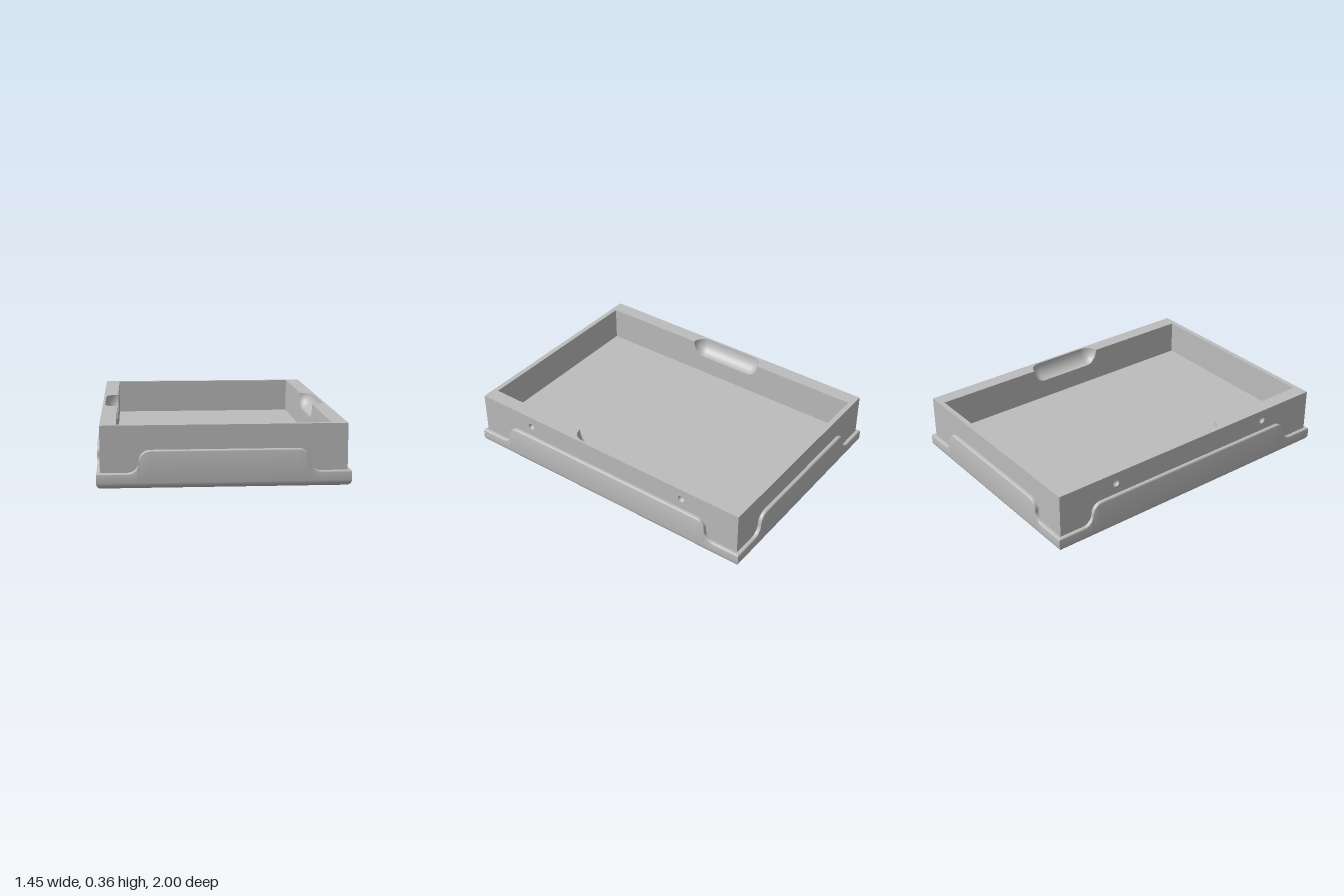
import * as THREE from 'three';
import { toCreasedNormals } from 'three/addons/utils/BufferGeometryUtils.js';

const HX = 0.725, HZ = 1.0;            // outer skirt half sizes
const BX = 0.703, BZ = 0.977;          // tray body half sizes
const CX = 0.611, CZ = 0.945;          // cavity half sizes
const TOP = 0.36, FLOOR = 0.14;
const LOW = 0.09, R = 0.065;           // skirt corner height and S-curve radius
const SCOOP = { x: 0.077, y: 0.095, z: 0.08, half: 0.175 };
const HOLE = { z: 0.58, y: 0.29, r: 0.022 };

const V = (x, y) => new THREE.Vector2(x, y);

// Scoop outline as [position along the wall, depth]
function scoopOutline(depth, n = 10) {
  const pts = [];
  for (const s of [-1, 1]) {
    for (let i = 0; i <= n; i++) {
      const a = (s < 0 ? i - n : i) / n * Math.PI / 2;
      pts.push([Math.sin(a) * SCOOP.z + s * SCOOP.half, Math.cos(a) * depth]);
    }
  }
  return pts;
}

const rect = (w, y0, y1) => new THREE.Shape([V(-w, y0), V(w, y0), V(w, y1), V(-w, y1)]);

// Height of the skirt along one side, as [position, height] from -L to L
function skirtSide(L, centre, n = 10) {
  const half = [[L, LOW]];
  for (let i = 0; i <= n; i++) {
    const a = i / n * Math.PI / 2;
    half.push([centre + R - R * Math.sin(a), LOW + R - R * Math.cos(a)]);
  }
  for (let i = 1; i <= n; i++) {
    const a = i / n * Math.PI / 2;
    half.push([centre - R + R * Math.cos(a), LOW + R + R * Math.sin(a)]);
  }
  const left = half.map(([t, h]) => [-t, h]);
  return [...left, ...half.reverse().slice(0, -1)];
}

// Skirt: a profile with rounded bottom and top edge swept round the rectangle
function skirtGeometry() {
  const fx = skirtSide(HX, 0.485), fz = skirtSide(HZ, 0.76);
  const ring = [
    ...fx.map(([t, h]) => [t, HZ, h]),
    ...fz.map(([t, h]) => [HX, -t, h]),
    ...fx.map(([t, h]) => [-t, -HZ, h]),
    ...fz.map(([t, h]) => [-HX, t, h]),
  ];
  const f = 0.035, e = 0.008, levels = [];
  for (let i = 0; i <= 6; i++) {
    const a = i / 6 * Math.PI / 2;
    levels.push([f - f * Math.sin(a), () => f - f * Math.cos(a)]);
  }
  for (let i = 0; i <= 3; i++) {
    const a = i / 3 * Math.PI / 2;
    levels.push([e - e * Math.cos(a), h => h - e + e * Math.sin(a)]);
  }
  levels.push([0.03, h => h]);

  const pos = [], idx = [], n = ring.length;
  const clamp = THREE.MathUtils.clamp;
  levels.forEach(([inset, y], j) => ring.forEach(([x, z, h], k) => {
    pos.push(clamp(x, inset - HX, HX - inset), y(h), clamp(z, inset - HZ, HZ - inset));
    if (j === 0) return;
    const k1 = (k + 1) % n, lo = (j - 1) * n, hi = j * n;
    idx.push(lo + k, lo + k1, hi + k1, lo + k, hi + k1, hi + k);
  }));
  const g = new THREE.BufferGeometry();
  g.setAttribute('position', new THREE.Float32BufferAttribute(pos, 3));
  g.setIndex(idx);
  return toCreasedNormals(g, 0.6);
}

// Scoop: a quarter of a stretched ellipsoid
function scoopGeometry() {
  const g = new THREE.SphereGeometry(1, 12, 25, Math.PI / 2, Math.PI / 2);
  g.rotateX(Math.PI / 2).scale(SCOOP.x, SCOOP.y, SCOOP.z);
  const p = g.attributes.position;
  for (let i = 0; i < p.count; i++) p.setZ(i, p.getZ(i) + Math.sign(p.getZ(i)) * SCOOP.half);
  return g;
}

export function createModel() {
  const model = new THREE.Group();
  const grey = new THREE.MeshStandardMaterial({ color: 0xbcbcbc, side: THREE.DoubleSide });
  grey.name = 'grey';
  const add = (name, geometry, parent = model) => {
    const m = new THREE.Mesh(geometry, grey);
    m.name = name;
    parent.add(m);
    return m;
  };

  // Skirt and underside
  add('skirt', skirtGeometry());
  add('underside', new THREE.PlaneGeometry(2 * (HX - 0.035), 2 * (HZ - 0.035)).rotateX(Math.PI / 2));

  // Rim, with the cavity and both scoops cut out
  const rim = new THREE.Shape([V(-BX, -BZ), V(BX, -BZ), V(BX, BZ), V(-BX, BZ)]);
  const scoopTop = scoopOutline(SCOOP.x);
  rim.holes.push(new THREE.Path([
    V(CX, -CZ), ...scoopTop.map(([t, d]) => V(CX + d, t)), V(CX, CZ),
    V(-CX, CZ), ...scoopTop.map(([t, d]) => V(-CX - d, -t)), V(-CX, -CZ),
  ]));
  add('rim', new THREE.ShapeGeometry(rim).rotateX(-Math.PI / 2).translate(0, TOP, 0));

  // Cavity floor
  add('floor', new THREE.PlaneGeometry(2 * CX, 2 * CZ).rotateX(-Math.PI / 2).translate(0, FLOOR, 0));

  // Front and back walls
  for (const [name, turn] of [['front', 0], ['back', Math.PI]]) {
    const end = new THREE.Group();
    end.name = name + 'Wall';
    end.rotation.y = turn;
    model.add(end);
    add('outerFace', new THREE.ShapeGeometry(rect(BX, 0.05, TOP)).translate(0, 0, BZ), end);
    add('innerFace', new THREE.ShapeGeometry(rect(CX, FLOOR, TOP)).rotateY(Math.PI).translate(0, 0, CZ), end);
  }

  // Side walls with pin holes outside and finger scoops inside
  const outer = rect(BZ, 0.05, TOP);
  for (const s of [-1, 1]) {
    outer.holes.push(new THREE.Path().absarc(s * HOLE.z, HOLE.y, HOLE.r, 0, Math.PI * 2, true));
  }
  const inner = new THREE.Shape([
    V(-CZ, FLOOR), V(CZ, FLOOR), V(CZ, TOP),
    ...scoopOutline(SCOOP.y).reverse().map(([t, d]) => V(t, TOP - d)), V(-CZ, TOP),
  ]);
  for (const [name, turn] of [['left', 0], ['right', Math.PI]]) {
    const side = new THREE.Group();
    side.name = name + 'Wall';
    side.rotation.y = turn;
    model.add(side);
    add('outerFace', new THREE.ShapeGeometry(outer, 24).rotateY(Math.PI / 2).translate(BX, 0, 0), side);
    add('innerFace', new THREE.ShapeGeometry(inner).rotateY(-Math.PI / 2).translate(CX, 0, 0), side);
    add('fingerScoop', scoopGeometry().translate(CX, TOP, 0), side);
    for (const s of [-1, 1]) {
      const dimple = new THREE.SphereGeometry(HOLE.r, 24, 8, 0, Math.PI * 2, 0, Math.PI / 2);
      add('pinHole', dimple.rotateZ(Math.PI / 2).translate(BX, HOLE.y, s * HOLE.z), side);
    }
  }
  return model;
}
